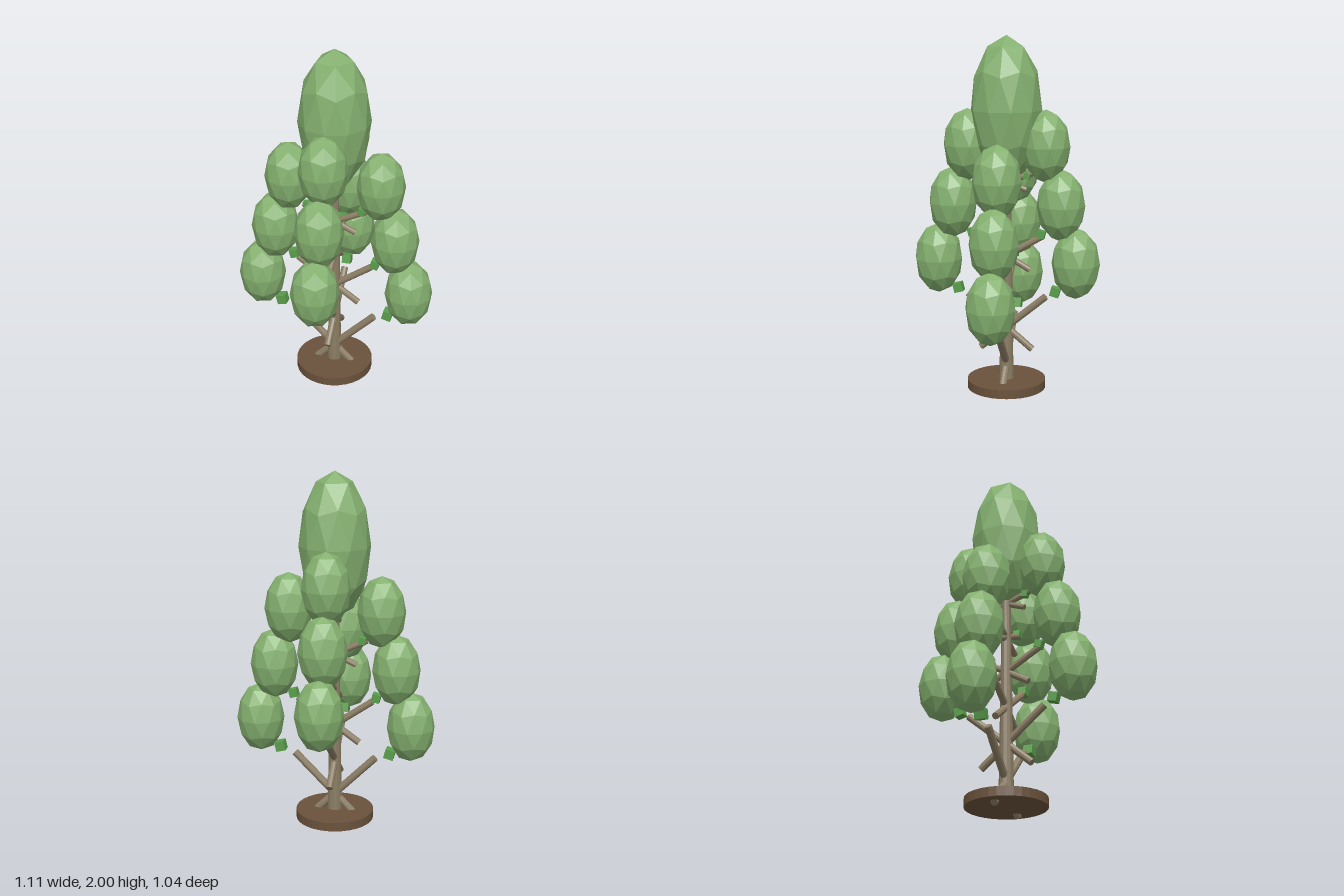
import * as THREE from 'three';

const paint = (color) => new THREE.MeshStandardMaterial({ color, flatShading: true });

export function createModel() {
  const tree = new THREE.Group();
  const foliageMat = paint(0x84b06f);
  const leafMat = paint(0x5a9e4b);
  const barkMat = paint(0x8b7d64);
  const baseMat = paint(0x6b523c);

  const add = (name, geometry, material, x, y, z) => {
    const mesh = new THREE.Mesh(geometry, material);
    mesh.name = name;
    mesh.position.set(x, y, z);
    tree.add(mesh);
    return mesh;
  };

  // Faceted ball with one corner pointing straight up, stretched vertically
  const foliage = (radius, halfHeight) => {
    const g = new THREE.IcosahedronGeometry(1, 1);
    g.rotateZ(-Math.atan(2 / (1 + Math.sqrt(5))));
    g.scale(radius, halfHeight, radius);
    g.computeVertexNormals();
    return g;
  };

  // Round base
  add('base', new THREE.CylinderGeometry(0.22, 0.22, 0.05, 32), baseMat, 0, 0.055, 0);

  // Trunk of stacked, narrowing sections
  const sections = 7;
  const sectionHeight = 0.2;
  for (let i = 0; i < sections; i++) {
    const r = 0.041 - i * 0.0028;
    add('trunkSection', new THREE.CylinderGeometry(r - 0.0028, r, sectionHeight, 12),
      barkMat, 0, 0.06 + sectionHeight * (i + 0.5), 0);
  }

  // Six tiers of crossed branches, alternating between the x and z directions
  const lengths = [0.54, 0.48, 0.43, 0.38, 0.33, 0.28];
  const offsets = [0.04, 0.037, 0.037, 0.034, 0.03, 0.02];
  const clumpGeo = foliage(0.134, 0.2);
  lengths.forEach((length, i) => {
    const angle = THREE.MathUtils.degToRad(45 - 5 * i);
    const y = 0.21 + 0.2 * i;
    const branchGeo = new THREE.CylinderGeometry(0.021 - 0.001 * i, 0.021 - 0.001 * i, length, 10);
    const leafSize = 0.055 - 0.004 * i;
    const leafGeo = new THREE.BoxGeometry(leafSize, leafSize, leafSize);
    const leafOut = 0.315 - 0.04 * i;
    const clumpOut = 0.43 - 0.0425 * i;
    const clumpY = 0.6 + 0.161 * i;
    const alongX = i % 2 === 0;
    for (const s of [1, -1]) {
      const place = (name, geo, mat, out, h) =>
        add(name, geo, mat, alongX ? s * out : 0, h, alongX ? 0 : s * out);
      const lean = (mesh, a) => {
        if (alongX) mesh.rotation.z = -s * a;
        else mesh.rotation.x = s * a;
      };
      lean(place('branch', branchGeo, barkMat, offsets[i], y), Math.PI / 2 - angle);
      lean(place('leaf', leafGeo, leafMat, leafOut, 0.435 + 0.161 * i), 0.25);
      place('foliageClump', clumpGeo, foliageMat, clumpOut, clumpY);
    }
  });

  // Tall crown
  add('crown', foliage(0.197, 0.4), foliageMat, 0, 1.6, 0);

  return tree;
}
